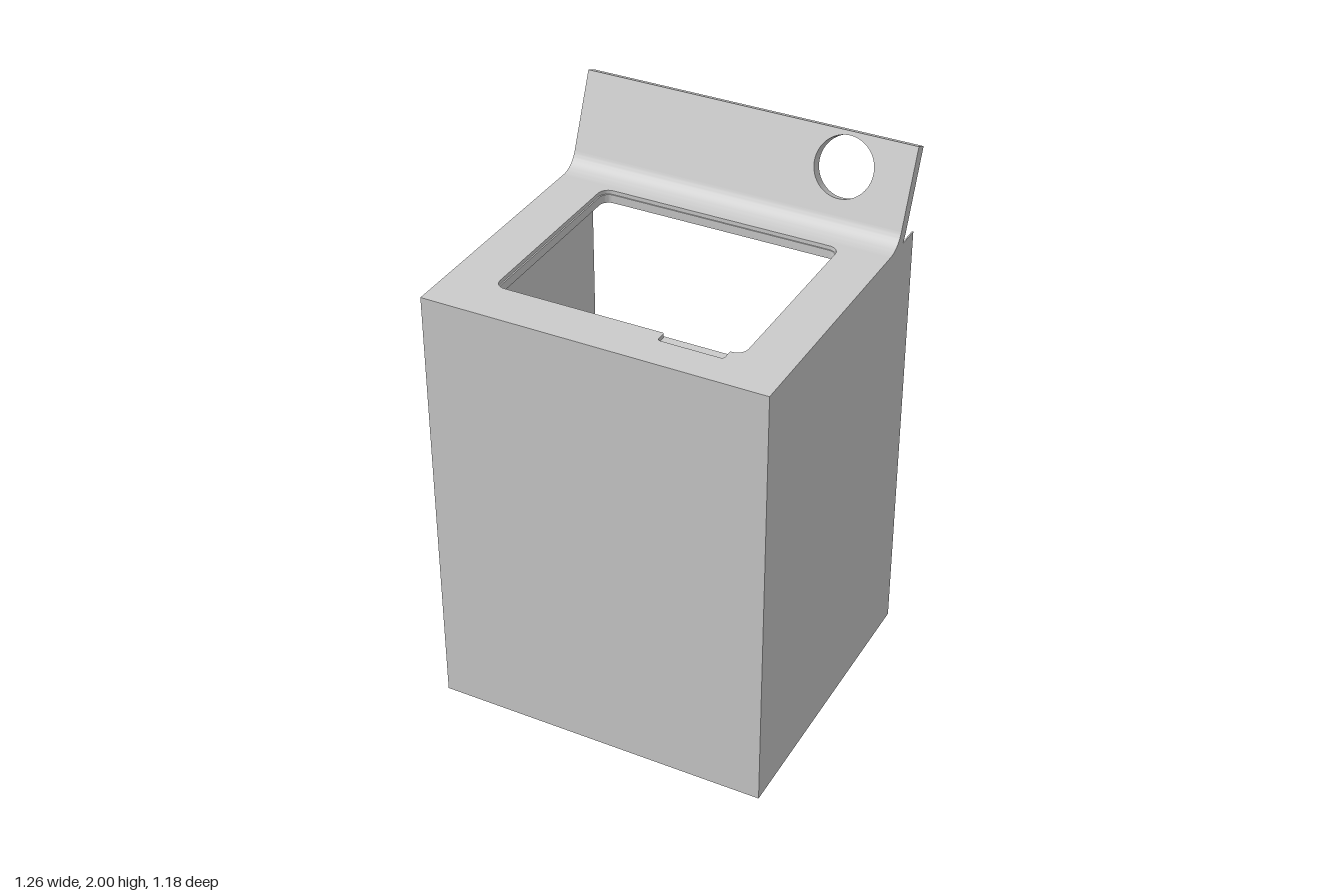
import * as THREE from 'three';
import { toCreasedNormals } from 'three/addons/utils/BufferGeometryUtils.js';

const W = 0.63, FRONT = 0.592, BACK = -0.545; // half width and depth limits
const TOP = 1.675, T = 0.047, SHEET = 0.005; // deck height, deck and sheet thickness
const BEND_Z = -0.35, R = 0.09; // start and inner radius of the bend
const TILT = Math.atan2(0.325, 0.135); // slope of the rear panel
const RECESS = 0.015;

const material = new THREE.MeshStandardMaterial({ color: 0xcccccc, side: THREE.DoubleSide });

function extrude(shape, depth) {
  return new THREE.ExtrudeGeometry(shape, { depth, bevelEnabled: false, curveSegments: 12 });
}

function addMesh(group, name, geometry) {
  const mesh = new THREE.Mesh(toCreasedNormals(geometry, 0.5), material);
  mesh.name = name;
  group.add(mesh);
  return mesh;
}

// Closed outline with rounded corners; each corner is [x, y, radius]
function roundedOutline(corners) {
  const path = new THREE.Path();
  const n = corners.length;
  corners.forEach(([x, y, r], i) => {
    const p = new THREE.Vector2(x, y);
    const toward = ([qx, qy]) => new THREE.Vector2(qx, qy).sub(p).setLength(r).add(p);
    const a = toward(corners[(i + n - 1) % n]);
    const b = toward(corners[(i + 1) % n]);
    if (i === 0) path.moveTo(a.x, a.y);
    else path.lineTo(a.x, a.y);
    if (r > 0) {
      const k = 0.5523; // circular corner as a Bezier
      const c1 = a.clone().lerp(p, k), c2 = b.clone().lerp(p, k);
      path.bezierCurveTo(c1.x, c1.y, c2.x, c2.y, b.x, b.y);
    }
  });
  path.closePath();
  return path;
}

// Points (z, y) on the bend at a given radius, from flat up to an angle
function bendArc(radius, angle, steps = 16) {
  return Array.from({ length: steps + 1 }, (_, i) => {
    const t = (angle * i) / steps;
    return new THREE.Vector2(BEND_Z - radius * Math.sin(t), TOP + R - radius * Math.cos(t));
  });
}

// Horizontal slab of the deck with an opening, drawn in (x, -z)
function deckLayer(opening, y, height) {
  const shape = new THREE.Shape([
    new THREE.Vector2(-W, -FRONT), new THREE.Vector2(W, -FRONT),
    new THREE.Vector2(W, -BEND_Z), new THREE.Vector2(-W, -BEND_Z),
  ]);
  shape.holes.push(roundedOutline(opening));
  return extrude(shape, height).rotateX(-Math.PI / 2).translate(0, y, 0);
}

// Turns a (z, y) profile into a solid running from x = right to x = left
function acrossX(points, right, left) {
  return extrude(new THREE.Shape(points), left - right).rotateY(-Math.PI / 2).translate(left, 0, 0);
}

export function createModel() {
  const model = new THREE.Group();
  model.name = 'applianceHousing';

  // Deck: lower layer with a plain opening, upper layer with the latch recess
  addMesh(model, 'deckLower', deckLayer([
    [-0.45, -0.415, 0.036], [0.45, -0.415, 0.036], [0.45, 0.322, 0.036], [-0.45, 0.322, 0.036],
  ], TOP - T, T - RECESS));
  addMesh(model, 'deckUpper', deckLayer([
    [-0.455, -0.418, 0.04], [0.175, -0.418, 0.006], [0.175, -0.465, 0.012],
    [0.41, -0.465, 0.012], [0.41, -0.418, 0], [0.455, -0.418, 0.04],
    [0.455, 0.326, 0.04], [-0.455, 0.326, 0.04],
  ], TOP - RECESS, RECESS));

  // Bend joining the deck to the rear panel
  const inner = bendArc(R, TILT);
  const outer = bendArc(R + T, TILT);
  addMesh(model, 'deckBend', acrossX([...inner, ...outer.slice().reverse()], -W, W));

  // Sloping control panel with a round dial hole
  const foot = inner[inner.length - 1];
  const length = (2 - foot.y) / Math.sin(TILT);
  const panel = new THREE.Shape([
    new THREE.Vector2(-W, 0), new THREE.Vector2(W, 0),
    new THREE.Vector2(W, length), new THREE.Vector2(-W, length),
  ]);
  const dial = new THREE.Path();
  dial.absarc(0.383, (1.885 - foot.y) / Math.sin(TILT), 0.109, 0, Math.PI * 2, true);
  panel.holes.push(dial);
  const control = addMesh(model, 'controlPanel',
    new THREE.ExtrudeGeometry(panel, { depth: T, bevelEnabled: false, curveSegments: 48 }).translate(0, 0, -T));
  control.position.set(0, foot.y, foot.x);
  control.rotation.x = TILT - Math.PI / 2;

  // Side sheets, cut to follow the underside of the deck and bend
  const cut = bendArc(R + T, Math.acos(R / (R + T)), 10).reverse();
  const side = [
    new THREE.Vector2(FRONT, 0), new THREE.Vector2(FRONT, TOP - T), ...cut.slice().reverse(),
    new THREE.Vector2(BACK, TOP), new THREE.Vector2(BACK, 0),
  ];
  addMesh(model, 'leftSide', acrossX(side, W - SHEET, W));
  addMesh(model, 'rightSide', acrossX(side, -W, SHEET - W));

  // Front sheet between the sides
  const height = TOP - T;
  addMesh(model, 'frontSheet', new THREE.BoxGeometry(2 * (W - SHEET), height, SHEET)
    .translate(0, height / 2, FRONT - SHEET / 2));

  return model;
}
